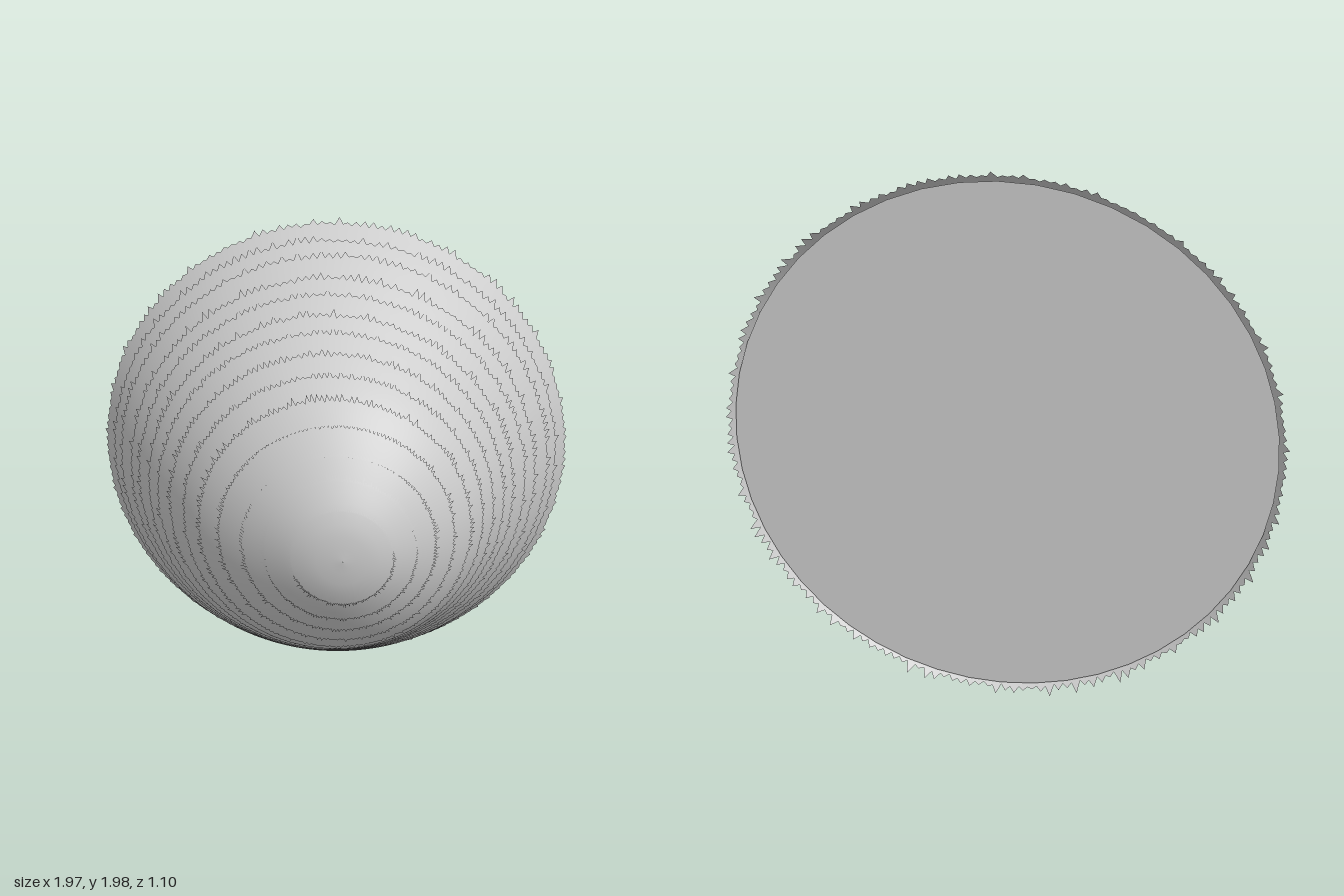
import * as THREE from 'three';

// Outline of the cone: x = radius, y = depth along z, from tip to rim
const outline = new THREE.SplineCurve([
  [0.001, 0.56], [0.12, 0.543], [0.22, 0.495], [0.36, 0.395], [0.48, 0.28],
  [0.56, 0.165], [0.66, 0.0], [0.77, -0.18], [0.87, -0.345], [0.955, -0.5],
].map(([r, z]) => new THREE.Vector2(r, z)));

const CENTRE_Y = 0.985;

// Small seeded generator for the uneven hair lengths
let seed = 7;
const rand = () => {
  seed = (seed * 16807) % 2147483647;
  return seed / 2147483647;
};

// Point on the body at radius r, depth z; the tip leans a little to +x and +y
function place(r, z, a) {
  const lean = Math.max(0, (z + 0.05) / 0.61) ** 1.3;
  return [r * Math.cos(a) + 0.07 * lean, CENTRE_Y + r * Math.sin(a) + 0.015 * lean, z];
}

// Surface of rows x segments; at(row, segment) gives [radius, depth]
function surface(rows, segments, at) {
  const pos = [], index = [];
  for (let i = 0; i <= rows; i++) {
    for (let j = 0; j < segments; j++) {
      const [r, z] = at(i, j);
      pos.push(...place(r, z, (j / segments) * Math.PI * 2));
    }
  }
  for (let i = 0; i < rows; i++) {
    for (let j = 0; j < segments; j++) {
      const a = i * segments + j, b = i * segments + ((j + 1) % segments);
      const c = a + segments, d = b + segments;
      index.push(a, c, b, b, c, d);
    }
  }
  const geo = new THREE.BufferGeometry();
  geo.setAttribute('position', new THREE.Float32BufferAttribute(pos, 3));
  geo.setIndex(index);
  geo.computeVertexNormals();
  return geo;
}

export function createModel() {
  const group = new THREE.Group();
  const solid = new THREE.MeshStandardMaterial({ color: 0xcccccc });
  const thin = new THREE.MeshStandardMaterial({ color: 0xcccccc, side: THREE.DoubleSide });

  const add = (name, geo, mat) => {
    const mesh = new THREE.Mesh(geo, mat);
    mesh.name = name;
    group.add(mesh);
    return mesh;
  };

  // Smooth core under the hair
  add('core', surface(28, 48, (i) => {
    const p = outline.getPointAt(i / 28);
    return [p.x, p.y];
  }), solid);

  // Flat back
  const back = add('back', new THREE.CircleGeometry(0.955, 48), solid);
  back.rotation.y = Math.PI;
  back.position.set(0, CENTRE_Y, -0.5);

  // Overlapping hair layers, each ending in a ragged fringe
  const ends = [0.12, 0.19, 0.25, 0.32, 0.39, 0.46, 0.53, 0.60, 0.66, 0.73, 0.79, 0.87, 0.93, 1];
  const ROWS = 5, TEETH = 360;
  ends.forEach((end, k) => {
    const start = k ? ends[k - 1] - 0.03 : 0;
    const size = 0.4 + 0.6 * Math.min(1, end * 1.6);
    const lengths = Array.from({ length: TEETH }, (_, j) =>
      (j % 2 ? 0.018 + 0.04 * rand() ** 1.6 : 0.012 * rand()) * size);
    add('hairLayer' + (k + 1), surface(ROWS, TEETH, (i, j) => {
      // The last row continues the slope by the length of each hair
      const t = Math.min(i / (ROWS - 1), 1);
      const u = start + (end - start) * t;
      const p = outline.getPointAt(u), d = outline.getTangentAt(u);
      const lift = 0.002 + 0.010 * t * size;
      const l = i === ROWS ? lengths[j] : 0;
      return [
        Math.max(0.001, p.x - d.y * lift + d.x * l),
        p.y + d.x * lift + d.y * l * (k === ends.length - 1 ? 0.8 : 1),
      ];
    }), thin);
  });

  return group;
}
